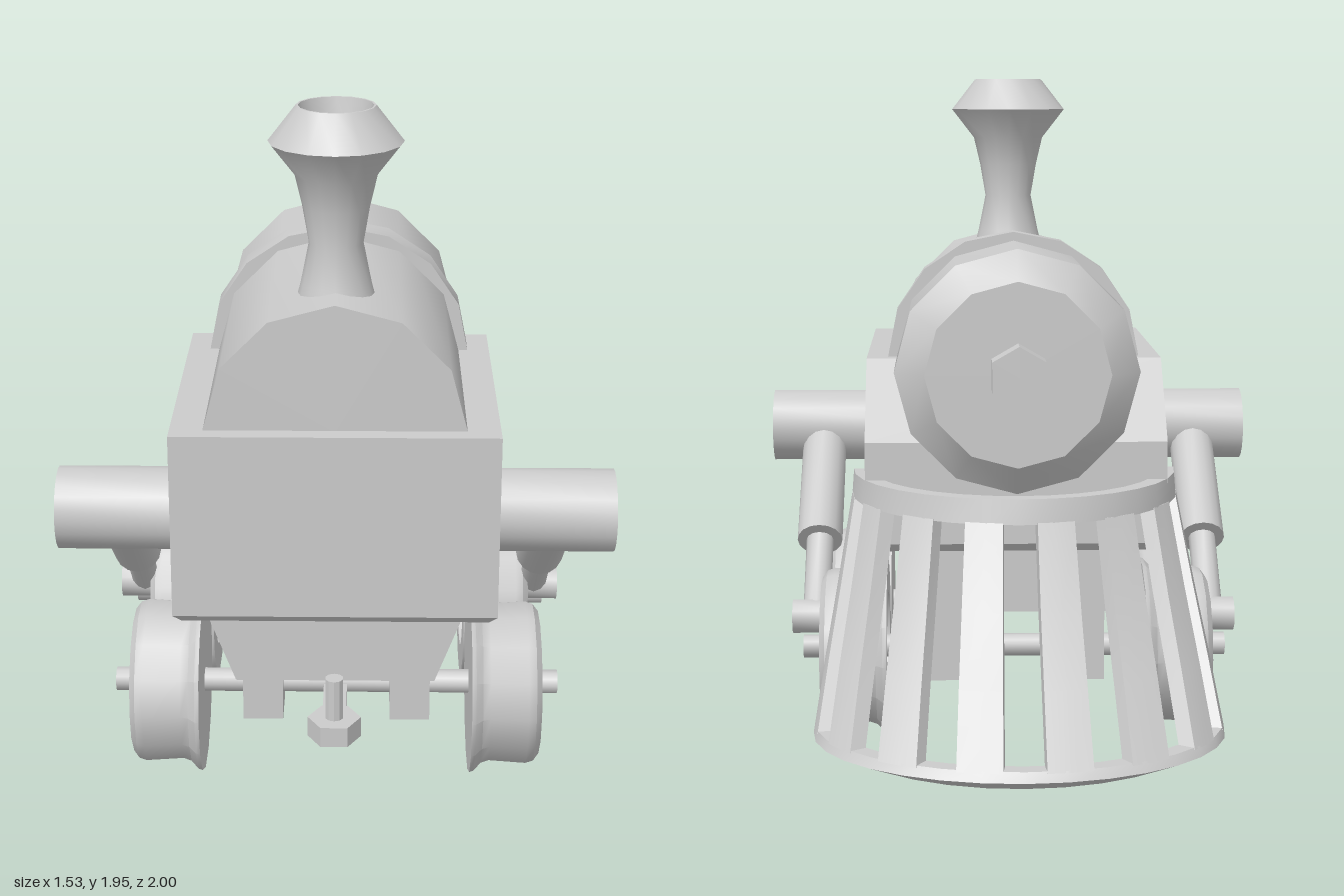
import * as THREE from 'three';
import { toCreasedNormals } from 'three/addons/utils/BufferGeometryUtils.js';

const material = new THREE.MeshStandardMaterial({ color: 0xcccccc });
const V = (x, y, z) => new THREE.Vector3(x, y, z);

export function createModel() {
  const model = new THREE.Group();

  const add = (name, geometry, crease = 0.6, parent = model) => {
    const mesh = new THREE.Mesh(toCreasedNormals(geometry, crease), material);
    mesh.name = name;
    parent.add(mesh);
    return mesh;
  };
  const box = (x0, x1, y0, y1, z0, z1) =>
    new THREE.BoxGeometry(x1 - x0, y1 - y0, z1 - z0)
      .translate((x0 + x1) / 2, (y0 + y1) / 2, (z0 + z1) / 2);
  // Cylinder between two points
  const rod = (r, a, b, sides = 16) => {
    const dir = b.clone().sub(a);
    const g = new THREE.CylinderGeometry(r, r, dir.length(), sides);
    g.applyQuaternion(new THREE.Quaternion().setFromUnitVectors(V(0, 1, 0), dir.normalize()));
    const mid = a.clone().add(b).multiplyScalar(0.5);
    return g.translate(mid.x, mid.y, mid.z);
  };
  const lathe = (points, sides) =>
    new THREE.LatheGeometry(points.map(([r, y]) => new THREE.Vector2(r, y)), sides);

  // Body with a sloped rear corner
  const side = new THREE.Shape([[-0.83, 0.62], [0.25, 0.62], [0.25, 0.92], [0.03, 1.14], [-0.83, 1.14]]
    .map(([u, y]) => new THREE.Vector2(u, y)));
  add('body', new THREE.ExtrudeGeometry(side, { depth: 0.88, bevelEnabled: false })
    .translate(0, 0, -0.44).rotateY(Math.PI / 2), 0.1);

  // Boxes that narrow towards the bottom
  const tapered = (x, y0, y1, z0, z1, sx, inset) => {
    const g = box(-x, x, y0, y1, z0, z1);
    const p = g.attributes.position;
    for (let i = 0; i < p.count; i++) {
      if (p.getY(i) > (y0 + y1) / 2) continue;
      p.setX(i, p.getX(i) * sx);
      p.setZ(i, p.getZ(i) - Math.sign(p.getZ(i)) * inset);
    }
    return g;
  };
  add('bodyBevel', tapered(0.44, 0.595, 0.62, -0.25, 0.83, 0.95, 0.025), 0.1);
  add('chassis', tapered(0.345, 0.41, 0.6, -0.22, 0.795, 0.79, 0), 0.1);

  // Boiler with chamfered rear end, band and end bolt
  add('boiler', lathe([[0, -0.41], [0.265, -0.41], [0.352, -0.335], [0.352, 0.78], [0, 0.78]], 12)
    .rotateX(Math.PI / 2).translate(0, 1.135, 0));
  add('boilerBand', rod(0.378, V(0, 1.135, 0.025), V(0, 1.135, 0.115), 16));
  add('endBolt', rod(0.087, V(0, 1.14, -0.5), V(0, 1.14, -0.4), 6));

  // Chimney, hollow at the top
  add('chimney', lathe([[0.108, 1.44], [0.095, 1.49], [0.073, 1.6], [0.09, 1.7], [0.11, 1.785], [0.18, 1.875],
    [0.106, 1.97], [0.1, 1.97], [0.08, 1.86], [0, 1.8]], 16).translate(0, 0, 0.575), 0.6);

  // Coupling at the front
  add('couplingBar', box(-0.032, 0.032, 0.318, 0.375, 0.75, 0.93));
  add('couplingHead', new THREE.CylinderGeometry(0.072, 0.072, 0.057, 6)
    .rotateY(Math.PI / 6).translate(0, 0.3465, 0.937));
  add('couplingPin', rod(0.025, V(0, 0.34, 0.937), V(0, 0.492, 0.937), 10));

  // Axles with hanging bearing blocks
  const axleY = 0.272, frontZ = 0.53, rearZ = -0.07;
  for (const z of [frontZ, rearZ]) {
    add('axle', rod(0.034, V(-0.635, axleY, z), V(0.635, axleY, z), 10), 0.7);
    for (const s of [-1, 1]) {
      add('bearingBlock', box(-0.057, 0.057, 0.18, 0.43, -0.065, 0.065).translate(s * 0.21, 0, z));
    }
  }

  // Flanged wheels: solid in front, spoked behind
  const tread = [[0.262, 0.38], [0.258, 0.392], [0.236, 0.412], [0.228, 0.435], [0.235, 0.54], [0.228, 0.562], [0.207, 0.578]];
  const solidProfile = [[0, 0.38], ...tread, [0, 0.578]];
  const spokedProfile = [[0.17, 0.38], ...tread, [0.17, 0.578], [0.17, 0.38]];
  for (const s of [-1, 1]) {
    const wheel = (name, profile, z) => {
      const group = new THREE.Group();
      group.name = name;
      group.position.set(0, axleY, z);
      group.rotation.y = s > 0 ? 0 : Math.PI;
      model.add(group);
      add('rim', lathe(profile, 14).rotateZ(-Math.PI / 2), 0.6, group);
      return group;
    };
    wheel('frontWheel', solidProfile, frontZ);
    const rear = wheel('rearWheel', spokedProfile, rearZ);
    for (let i = 0; i < 4; i++) {
      add('spokePair', box(0.5, 0.545, -0.175, 0.175, -0.015, 0.015).rotateX(i * Math.PI / 4), 0.1, rear);
    }

    // Steam cylinder and piston driving the rear wheel
    const top = V(s * 0.6, 0.845, 0.61), mid = V(s * 0.6, 0.54, 0.215), pin = V(s * 0.6, 0.345, 0.01);
    add('steamCylinder', rod(0.115, V(s * 0.42, 0.845, 0.61), V(s * 0.765, 0.845, 0.61), 20));
    add('pistonSleeve', rod(0.07, top, mid));
    add('pistonRod', rod(0.042, mid, pin, 12));
    add('crankPin', rod(0.052, V(s * 0.53, 0.345, 0.01), V(s * 0.672, 0.345, 0.01), 12));
  }

  // Track guard: a half-elliptical skirt flaring towards the bottom.
  // Rows: height, side edge z, apex z, half width
  const rows = [[0.14, -0.52, -1.0, 0.58], [0.34, -0.36, -0.835, 0.55], [0.52, -0.22, -0.695, 0.52],
    [0.74, -0.05, -0.575, 0.485], [0.81, -0.04, -0.56, 0.48]];
  const guardPoint = (t, y, depth) => {
    let i = 0;
    while (i < rows.length - 2 && y > rows[i + 1][0]) i++;
    const k = (y - rows[i][0]) / (rows[i + 1][0] - rows[i][0]);
    const [, z0, z1, w] = rows[i].map((v, j) => v + (rows[i + 1][j] - v) * k);
    const drop = y < 0.141 ? depth * 0.6 * Math.cos(t) : 0;
    return V(-(w - depth) * Math.sin(t), y - drop, z0 + (z1 + depth - z0) * Math.cos(t));
  };
  const guard = new THREE.Group();
  guard.name = 'trackGuard';
  model.add(guard);
  // Curved slab between two angles, passing through the given heights
  const slab = (name, t0, t1, heights, segments) => {
    const g = new THREE.BoxGeometry(1, 1, 1, segments, heights.length - 1, 1);
    const p = g.attributes.position;
    for (let i = 0; i < p.count; i++) {
      const t = t0 + (t1 - t0) * (p.getX(i) + 0.5);
      const y = heights[Math.round((p.getY(i) + 0.5) * (heights.length - 1))];
      const q = guardPoint(t, heights[0] === y && name !== 'bottomRail' ? y + 0.0001 : y, p.getZ(i) > 0 ? 0 : 0.05);
      p.setXYZ(i, q.x, q.y, q.z);
    }
    // BoxGeometry rows run from the top, which the height lookup keeps
    add(name, g, 0.35, guard);
  };
  const half = Math.PI / 2, step = 0.42, slot = 0.1;
  slab('topRail', -half, half, [0.74, 0.81], 16);
  slab('bottomRail', -half, half, [0.14, 0.165], 16);
  const barHeights = [0.16, 0.34, 0.52, 0.745];
  for (let i = -4; i < 4; i++) {
    const t0 = i === -4 ? -half : i * step + slot;
    const t1 = i === 3 ? half : (i + 1) * step - slot;
    slab('bar', t0, t1, barHeights, 2);
  }

  return model;
}
